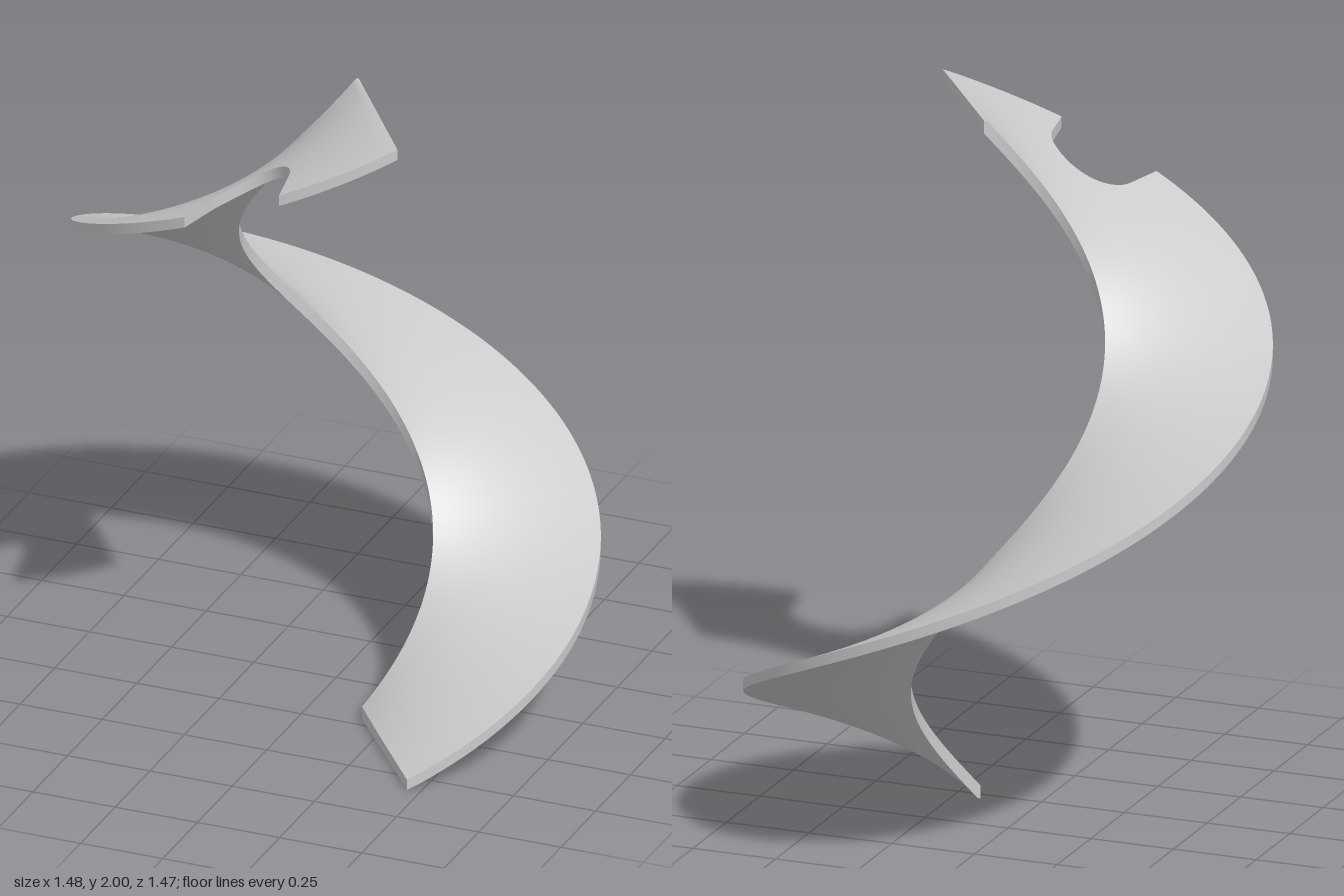
import * as THREE from 'three';
import { toCreasedNormals } from 'three/addons/utils/BufferGeometryUtils.js';

const rad = THREE.MathUtils.degToRad;
const START = rad(-51.6), END = rad(306.3), MID = (START + END) / 2;
const RISE = 1.97 / (END - START);            // height gained per radian
const R_IN = 0.272, R_OUT = 0.742, THICK = 0.03;
const NOTCH = { mid: rad(269.2), half: rad(11.2), r: 0.61, depth: 0.12 };
const N = 8;                                  // steps across the blade

// Columns along the spiral: [angle, outer radius]; the notch has a rounded bottom
function columns() {
  const cols = [];
  const a = NOTCH.mid - NOTCH.half, b = NOTCH.mid + NOTCH.half;
  const run = (from, to, steps) => {
    for (let i = 0; i <= steps; i++) cols.push([from + (to - from) * i / steps, R_OUT]);
  };
  run(START, a, 150);
  for (let i = 0; i <= 20; i++) {
    const t = Math.PI * i / 20;
    cols.push([NOTCH.mid - NOTCH.half * Math.cos(t), NOTCH.r - NOTCH.depth * Math.sin(t)]);
  }
  run(b, END, 14);
  return cols;
}

// Closed cross-section: upper side inner to outer, then lower side back
function section([angle, rOut]) {
  const ring = [];
  for (let k = 0; k < 2 * N + 2; k++) {
    const top = k <= N;
    const r = R_IN + (rOut - R_IN) * (top ? k : 2 * N + 1 - k) / N;
    const half = THICK / 2 * Math.hypot(1, RISE / r);
    const y = 1 + RISE * (angle - MID) + (top ? half : -half);
    ring.push([r * Math.cos(angle), THREE.MathUtils.clamp(y, 0, 2), -r * Math.sin(angle)]);
  }
  return ring;
}

function bladeGeometry() {
  const rings = columns().map(section);
  const pos = [];
  const quad = (a, b, c, d) => pos.push(...a, ...b, ...c, ...a, ...c, ...d);
  const M = 2 * N + 2;
  for (let i = 0; i + 1 < rings.length; i++) {
    const p = rings[i], q = rings[i + 1];
    for (let k = 0; k < M; k++) quad(p[k], p[(k + 1) % M], q[(k + 1) % M], q[k]);
  }
  // End faces
  const s = rings[0], e = rings[rings.length - 1];
  for (let k = 0; k < N; k++) {
    quad(e[k], e[k + 1], e[2 * N - k], e[2 * N + 1 - k]);
    quad(s[2 * N + 1 - k], s[2 * N - k], s[k + 1], s[k]);
  }
  const geo = new THREE.BufferGeometry();
  geo.setAttribute('position', new THREE.Float32BufferAttribute(pos, 3));
  return toCreasedNormals(geo, 0.6);
}

export function createModel() {
  const group = new THREE.Group();
  group.name = 'helicalScrew';
  const blade = new THREE.Mesh(
    bladeGeometry(),
    new THREE.MeshStandardMaterial({ color: 0xcccccc })
  );
  blade.name = 'notchedSpiralBlade';
  group.add(blade);
  return group;
}
